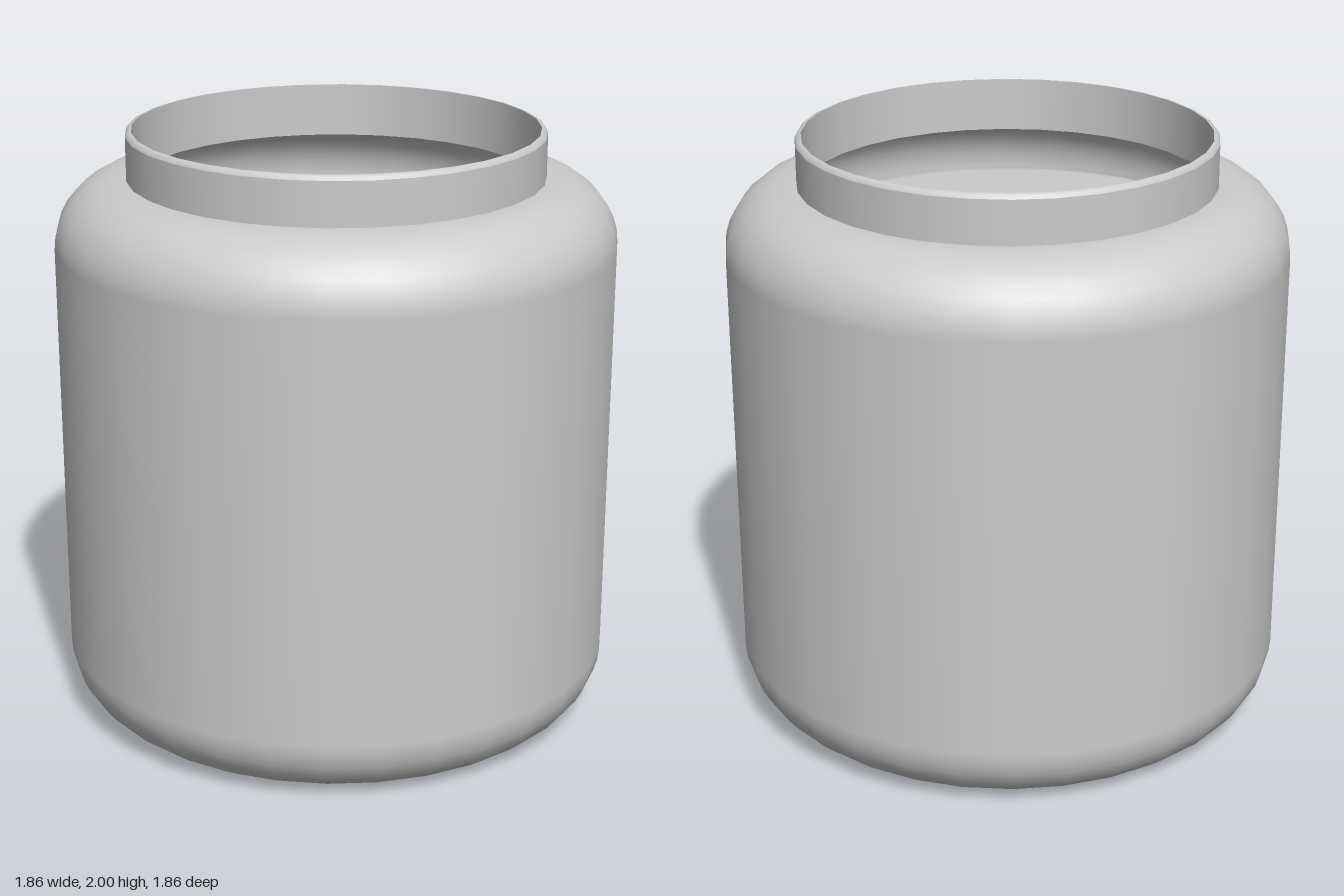
import * as THREE from 'three';

const SIDES = 32;

// points of a quarter round, from angle a0 to a1
function arc(cx, cy, r, a0, a1, steps = 8) {
  return Array.from({ length: steps + 1 }, (_, i) => {
    const a = a0 + (a1 - a0) * i / steps;
    return [cx + r * Math.cos(a), cy + r * Math.sin(a)];
  });
}

export function createModel() {
  const group = new THREE.Group();
  const material = new THREE.MeshStandardMaterial({ color: 0xcccccc, side: THREE.DoubleSide });
  const H = Math.PI / 2;

  function turned(name, profile) {
    const points = profile.map(([x, y]) => new THREE.Vector2(Math.max(x, 0), y));
    const mesh = new THREE.Mesh(new THREE.LatheGeometry(points, SIDES), material);
    mesh.name = name;
    group.add(mesh);
  }

  // outer wall: flat base, rounded foot, straight side, rounded shoulder
  turned('body', [
    [0, 0], [0.69, 0],
    ...arc(0.71, 0.22, 0.22, -H, 0),
    ...arc(0.71, 1.62, 0.22, 0, H),
    [0.69, 1.84],
  ]);

  // neck with a slightly softened rim
  turned('neck', [[0.69, 1.84], [0.69, 1.985]]);
  turned('rim', [[0.69, 1.985], [0.685, 1.995], [0.675, 2], [0.67, 2]]);
  turned('neckInside', [[0.67, 2], [0.67, 1.82]]);

  // inner wall, run from the neck down to the floor
  turned('bodyInside', [
    [0.67, 1.82],
    ...arc(0.71, 1.62, 0.2, H, 0),
    ...arc(0.71, 0.22, 0.2, 0, -H),
    [0, 0.02],
  ]);

  // contents filling the jar up to the shoulder
  turned('contents', [
    [0, 0.03],
    ...arc(0.7, 0.23, 0.2, -H, 0),
    ...arc(0.7, 1.46, 0.2, 0, H),
    [0.5, 1.66], [0, 1.66],
  ]);

  return group;
}
